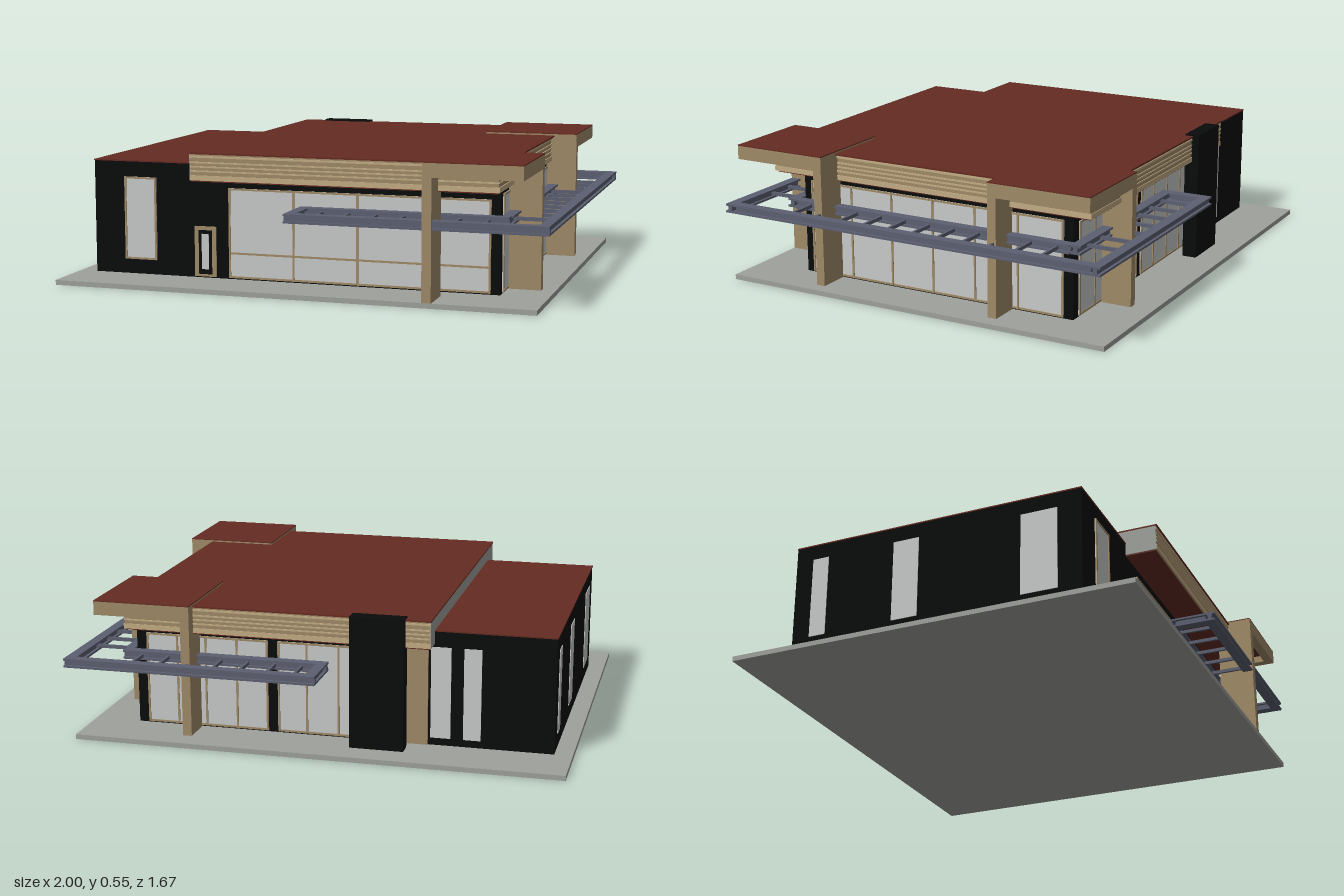
import * as THREE from 'three';

const flat = (name, color) => {
  const m = new THREE.MeshStandardMaterial({ color });
  m.name = name;
  return m;
};

export function createModel() {
  const model = new THREE.Group();
  model.name = 'pavilionBuilding';
  const concrete = flat('concrete', 0x9fa19c);
  const black = flat('blackWall', 0x0a0c0c);
  const red = flat('redRoof', 0x642b22);
  const tan = flat('tanCladding', 0xa08a68);
  const lightTan = flat('lightTanSlat', 0xc3ac84);
  const glass = flat('paleGlass', 0xc8caca);
  const steel = flat('blueSteel', 0x5c5f70);

  // Box given by its limits on each axis
  const box = (name, mat, x0, x1, y0, y1, z0, z1) => {
    const mesh = new THREE.Mesh(new THREE.BoxGeometry(x1 - x0, y1 - y0, z1 - z0), mat);
    mesh.position.set((x0 + x1) / 2, (y0 + y1) / 2, (z0 + z1) / 2);
    mesh.name = name;
    model.add(mesh);
    return mesh;
  };
  // Thin plate on a wall: axis is the wall normal, at its plane, dir its outward sign, a..b along the wall
  const plate = (name, mat, axis, at, dir, a, b, y0, y1, t) => {
    const lo = Math.min(at, at + dir * t), hi = Math.max(at, at + dir * t);
    if (axis === 'z') box(name, mat, a, b, y0, y1, lo, hi);
    else box(name, mat, lo, hi, y0, y1, a, b);
  };
  // Glass pane with a tan frame, optional mullions and transom
  const glazing = (name, axis, at, dir, a, b, y0, y1, mullions = [], transom = null) => {
    const w = 0.008;
    plate(name, glass, axis, at, dir, a, b, y0, y1, 0.003);
    for (const m of [a + w / 2, ...mullions, b - w / 2])
      plate(name + 'Mullion', tan, axis, at, dir, m - w / 2, m + w / 2, y0, y1, 0.007);
    for (const y of [y0, y1 - w, ...(transom ? [transom] : [])])
      plate(name + 'Rail', tan, axis, at, dir, a, b, y, y + w, 0.006);
  };

  // Base and walls
  box('slab', concrete, -1, 0.96, 0, 0.02, -0.837, 0.837);
  box('sideWing', black, -0.928, -0.34, 0.02, 0.482, -0.615, 0.608);
  box('sideWingRoof', red, -0.93, -0.34, 0.482, 0.487, -0.617, 0.61);
  box('mainHall', black, -0.34, 0.772, 0.02, 0.43, -0.615, 0.608);

  // Main hall glazing
  glazing('frontGlass', 'z', 0.608, 1, -0.34, 0.735, 0.025, 0.39, [-0.065, 0.2, 0.465], 0.122);
  glazing('sideGlass', 'x', 0.772, 1, -0.575, 0.575, 0.025, 0.41, [-0.38, -0.19, 0, 0.19, 0.38]);
  glazing('backGlassOuter', 'z', -0.615, -1, 0.22, 0.73, 0.025, 0.4, [0.35, 0.48, 0.6]);
  glazing('backGlassInner', 'z', -0.615, -1, -0.33, 0.18, 0.025, 0.4, [-0.2, -0.07, 0.06]);
  plate('backPanel', tan, 'z', -0.615, -1, -0.43, -0.335, 0.02, 0.43, 0.008);

  // Wing windows
  glazing('wingFrontWindow', 'z', 0.608, 1, -0.795, -0.655, 0.08, 0.42);
  for (const [a, b] of [[-0.54, -0.47], [-0.18, -0.07], [0.36, 0.51]])
    plate('wingSideWindow', glass, 'x', -0.928, -1, a, b, 0.08, 0.42, 0.003);
  for (const [a, b] of [[-0.64, -0.57], [-0.52, -0.44]])
    plate('wingBackWindow', glass, 'z', -0.615, -1, a, b, 0.05, 0.42, 0.003);

  // Front door: tan surround, dark leaf, glass pane
  plate('doorFrame', tan, 'z', 0.608, 1, -0.488, -0.395, 0.025, 0.23, 0.006);
  plate('doorLeaf', black, 'z', 0.608, 1, -0.47, -0.413, 0.035, 0.215, 0.007);
  plate('doorGlass', glass, 'z', 0.608, 1, -0.457, -0.426, 0.055, 0.2, 0.008);

  // Main roof with slatted fascia
  box('soffit', red, -0.45, 0.785, 0.428, 0.433, -0.69, 0.732);
  box('fascia', tan, -0.45, 0.79, 0.433, 0.538, -0.695, 0.737);
  for (const [y, h] of [[0.434, 0.02], [0.468, 0.006], [0.485, 0.006], [0.502, 0.006], [0.524, 0.008]])
    box('fasciaSlat', lightTan, -0.453, 0.794, y, y + h, -0.698, 0.74);
  plate('fasciaEnd', concrete, 'x', -0.45, -1, -0.695, 0.737, 0.433, 0.538, 0.004);
  box('mainRoof', red, -0.455, 0.805, 0.538, 0.544, -0.7, 0.742);

  // Black rear fin
  box('rearFin', black, -0.355, -0.14, 0.02, 0.55, -0.727, -0.667);

  // Corner canopies: hollow cap on two legs set at right angles
  const canopy = (x0, x1, z0, z1, front) => {
    const t = 0.037, y0 = 0.495, y1 = 0.55;
    box('canopyRoof', red, x0, x1, y1, y1 + 0.004, z0, z1);
    box('canopyCeiling', red, x0 + t, x1 - t, 0.525, y1, z0 + t, z1 - t);
    for (const z of [z0, z1 - t]) box('canopyRim', tan, x0, x1, y0, y1, z, z + t);
    for (const x of [x0, x1 - t]) box('canopyRim', tan, x, x + t, y0, y1, z0 + t, z1 - t);
    const inner = front ? z0 : z1 - t;
    box('canopySideLeg', tan, 0.77, x1, 0.02, y0, inner, inner + t);
    box('canopyEndLeg', tan, x0, x0 + t, 0.02, y0, front ? z1 - 0.148 : z0, front ? z1 : z0 + 0.125);
  };
  canopy(0.52, 0.904, 0.433, 0.838, true);
  canopy(0.503, 0.9, -0.745, -0.317, false);

  // Steel sunshade: I-beams wrapping the front, side and back
  const beam = (x0, x1, z0, z1) => {
    const alongX = x1 - x0 > z1 - z0, c = 0.012;
    for (const y of [0.296, 0.324]) box('sunshadeFlange', steel, x0, x1, y, y + 0.008, z0, z1);
    box('sunshadeWeb', steel, alongX ? x0 : x0 + c, alongX ? x1 : x1 - c, 0.304, 0.324,
      alongX ? z0 + c : z0, alongX ? z1 - c : z1);
  };
  const w = 0.042;
  for (const s of [1, -1]) {
    const span = (x0, x1, a, b) => beam(x0, x1, Math.min(s * a, s * b), Math.max(s * a, s * b));
    span(-0.03, 1, 0.836 - w, 0.836);
    span(-0.03, 0.815, 0.622, 0.622 + w);
    span(-0.03, -0.03 + w, 0.622 + w, 0.836 - w);
  }
  beam(1 - w, 1, -0.836 + w, 0.836 - w);
  beam(0.78, 0.78 + w, -0.622, 0.622);

  // Sunshade rungs
  for (let i = 0; i < 7; i++) {
    const x = 0.07 + i * 0.111;
    for (const s of [1, -1]) {
      const z = s * 0.73;
      box('sunshadeRung', steel, x - 0.005, x + 0.005, 0.306, 0.32, z - 0.075, z + 0.075);
    }
  }
  for (let i = 0; i < 11; i++) {
    const z = -0.565 + i * 0.112;
    box('sunshadeRung', steel, 0.81, 0.97, 0.306, 0.32, z - 0.005, z + 0.005);
  }
  return model;
}
